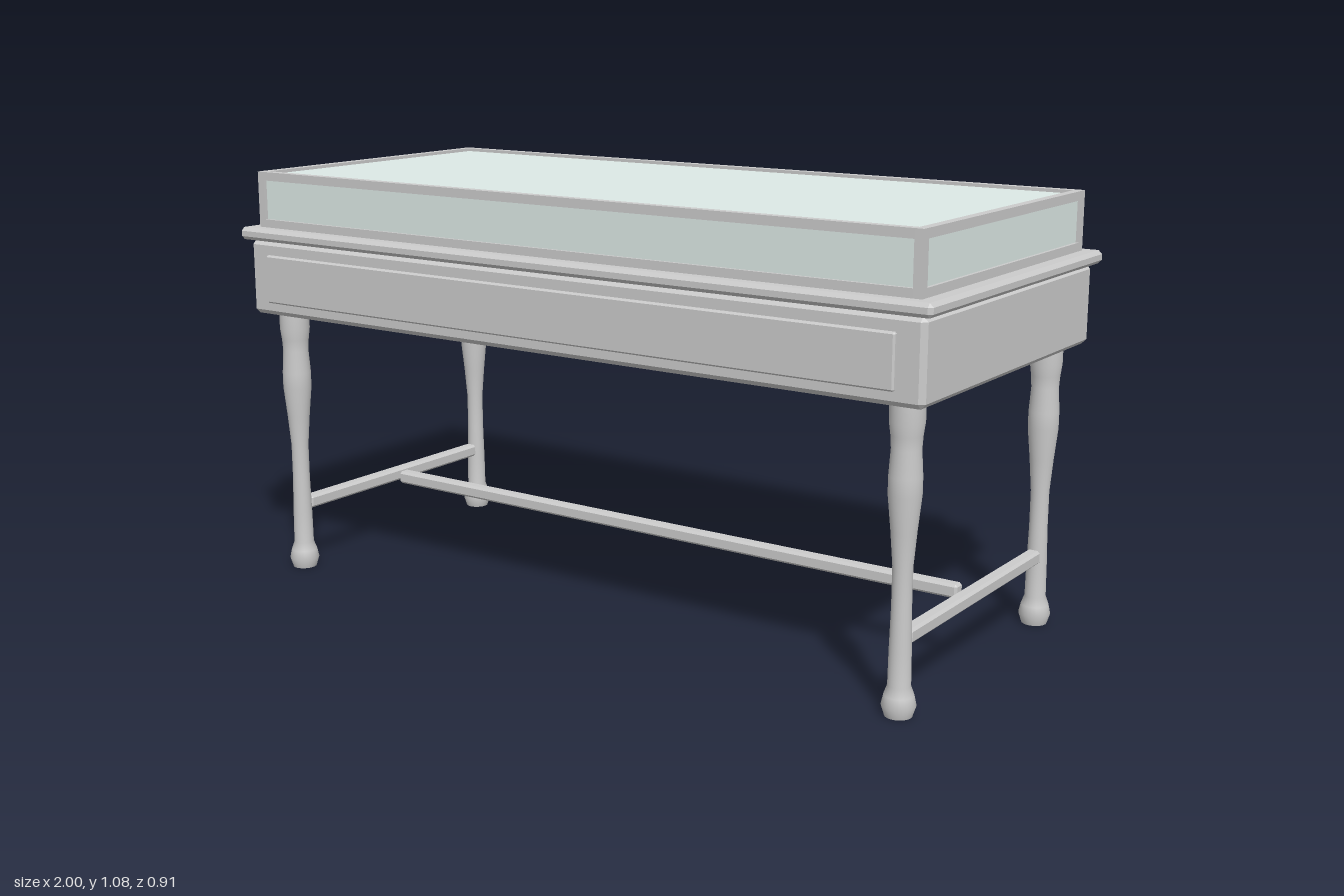
import * as THREE from 'three';
import { ConvexGeometry } from 'three/addons/geometries/ConvexGeometry.js';

export function createModel() {
  const model = new THREE.Group();
  model.name = 'displayTable';
  const wood = new THREE.MeshStandardMaterial({ color: 0xcccccc });
  const glass = new THREE.MeshStandardMaterial({ color: 0xdde9e6 });

  function add(name, geometry, material, x, y, z, parent = model) {
    const mesh = new THREE.Mesh(geometry, material);
    mesh.name = name;
    mesh.position.set(x, y, z);
    parent.add(mesh);
    return mesh;
  }

  // Box with every edge chamfered by c
  function chamferBox(w, h, d, c) {
    const points = [];
    for (const sx of [-1, 1]) for (const sy of [-1, 1]) for (const sz of [-1, 1]) {
      const x = w / 2, y = h / 2, z = d / 2;
      points.push(
        new THREE.Vector3(sx * x, sy * (y - c), sz * (z - c)),
        new THREE.Vector3(sx * (x - c), sy * y, sz * (z - c)),
        new THREE.Vector3(sx * (x - c), sy * (y - c), sz * z));
    }
    return new ConvexGeometry(points);
  }

  // Apron body and overhanging ledge
  add('apron', chamferBox(1.96, 0.195, 0.872, 0.012), wood, 0, 0.8015, 0);
  add('ledge', chamferBox(2, 0.032, 0.906, 0.009), wood, 0, 0.915, 0);

  // Raised panels on the front and back, with a small plate on the back one
  for (const s of [-1, 1]) {
    add(s > 0 ? 'frontPanel' : 'backPanel', chamferBox(1.83, 0.125, 0.03, 0.004), wood, 0, 0.8, s * 0.431);
  }
  add('backPlate', chamferBox(0.24, 0.06, 0.02, 0.003), wood, 0, 0.8, -0.443);

  // Turned legs
  const profile = [[0.031, 0], [0.039, 0.025], [0.034, 0.048], [0.026, 0.07], [0.025, 0.15],
    [0.0225, 0.25], [0.0225, 0.34], [0.029, 0.42], [0.037, 0.5], [0.037, 0.54], [0.033, 0.6],
    [0.035, 0.63], [0.039, 0.66], [0.039, 0.71]].map(([r, y]) => new THREE.Vector2(r, y));
  const legGeometry = new THREE.LatheGeometry(profile, 24);
  const soleGeometry = new THREE.CircleGeometry(0.031, 24).rotateX(Math.PI / 2);
  const legX = 0.907, legZ = 0.361;
  for (const sx of [-1, 1]) for (const sz of [-1, 1]) {
    const leg = new THREE.Group();
    leg.name = (sz > 0 ? 'front' : 'back') + (sx > 0 ? 'Left' : 'Right') + 'Leg';
    leg.position.set(sx * legX, 0, sz * legZ);
    add('turnedPost', legGeometry, wood, 0, 0, 0, leg);
    add('sole', soleGeometry, wood, 0, 0, 0, leg);
    model.add(leg);
  }

  // Stretchers
  for (const s of [-1, 1]) {
    add(s > 0 ? 'leftStretcher' : 'rightStretcher', chamferBox(0.034, 0.034, 0.686, 0.006), wood, s * legX, 0.176, 0);
  }
  add('longStretcher', chamferBox(1.744, 0.034, 0.034, 0.006), wood, 0, 0.176, 0);

  // Glazed case: bars along all twelve edges
  const W = 1.92, D = 0.834, bottom = 0.93, top = 1.075, t = 0.022;
  const H = top - bottom, midY = (top + bottom) / 2;
  const frame = new THREE.Group();
  frame.name = 'caseFrame';
  model.add(frame);
  for (const a of [-1, 1]) for (const b of [-1, 1]) {
    const y = midY + b * (H - t) / 2;
    add('cornerPost', new THREE.BoxGeometry(t, H, t), wood, a * (W - t) / 2, midY, b * (D - t) / 2, frame);
    add('longRail', new THREE.BoxGeometry(W - 2 * t, t, t), wood, 0, y, a * (D - t) / 2, frame);
    add('shortRail', new THREE.BoxGeometry(t, t, D - 2 * t), wood, a * (W - t) / 2, y, 0, frame);
  }

  // Glass panes set back slightly inside the frame
  const pane = 0.006, inset = 0.011;
  add('topGlass', new THREE.BoxGeometry(W - 2 * t, pane, D - 2 * t), glass, 0, top - inset, 0);
  for (const s of [-1, 1]) {
    add(s > 0 ? 'frontGlass' : 'backGlass', new THREE.BoxGeometry(W - 2 * t, H - 2 * t, pane), glass,
      0, midY, s * (D / 2 - inset));
    add(s > 0 ? 'leftGlass' : 'rightGlass', new THREE.BoxGeometry(pane, H - 2 * t, D - 2 * t), glass,
      s * (W / 2 - inset), midY, 0);
  }

  return model;
}
